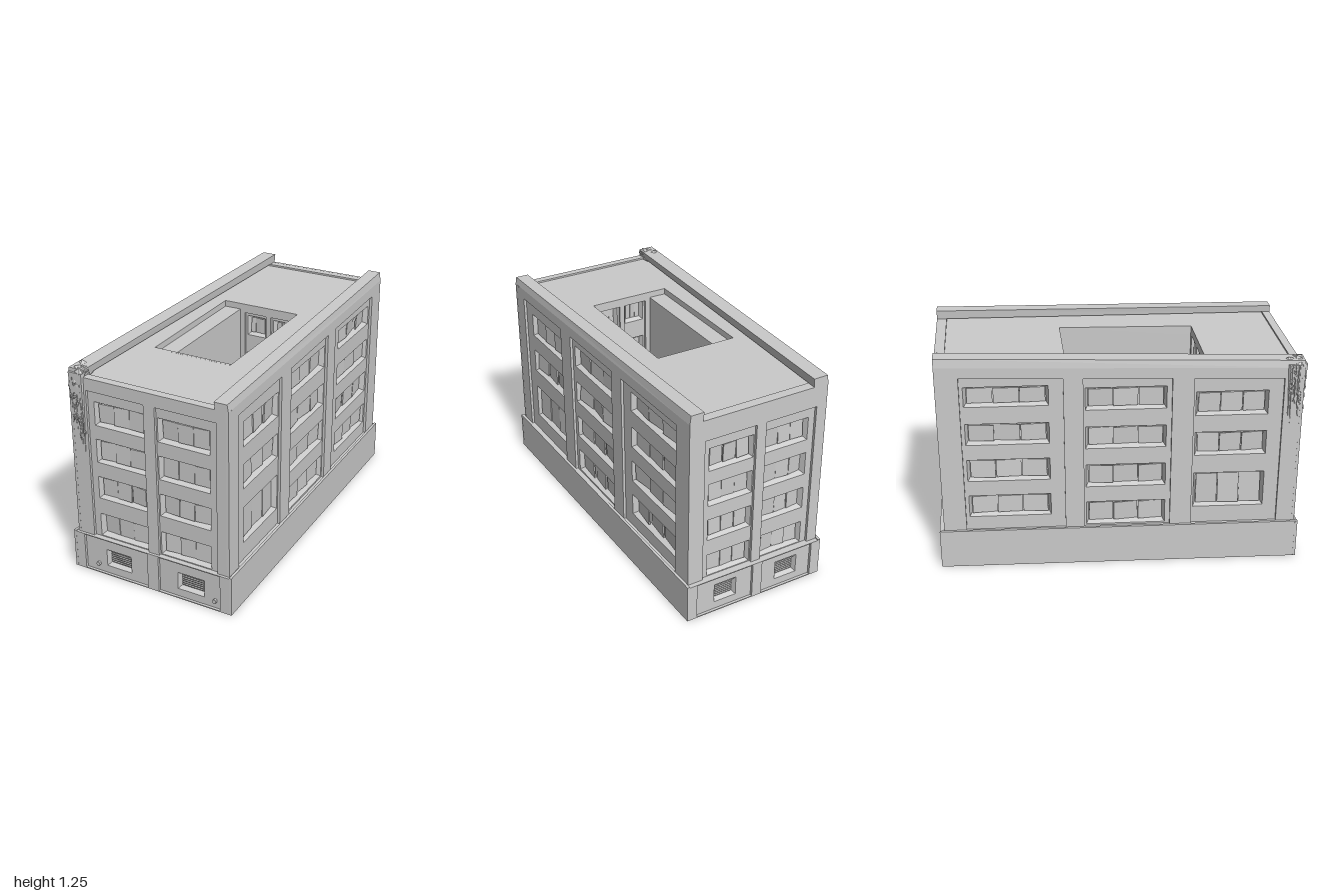
import * as THREE from 'three';

const grey = new THREE.MeshStandardMaterial({ color: 0xcccccc, flatShading: true, side: THREE.DoubleSide });

let seed = 7;
const rand = (a = 0, b = 1) => {
  seed = (seed * 16807) % 2147483647;
  return a + (b - a) * seed / 2147483647;
};

function add(parent, name, geometry, x = 0, y = 0, z = 0) {
  const m = new THREE.Mesh(geometry, grey);
  m.name = name;
  m.position.set(x, y, z);
  parent.add(m);
  return m;
}

const poly = (pts) => pts.map(([x, y]) => new THREE.Vector2(x, y));
const rect = (x0, x1, y0, y1) => poly([[x0, y0], [x1, y0], [x1, y1], [x0, y1]]);

// Heights that rise gently towards the back
const roofY = (z) => 1.165 - 0.025 * z;
const wallY = (z) => 1.175 - 0.025 * z;
const parapetY = (z) => 1.22 - 0.03 * z;

// Plan outline [x, z] raised between two height rules, with an optional hole
function slab(pts, low, high, hole, inset = 1) {
  const flip = (p) => poly(p.map(([x, z]) => [x, -z]));
  const shape = new THREE.Shape(flip(pts));
  if (hole) shape.holes.push(new THREE.Path(flip(hole)));
  const g = new THREE.ExtrudeGeometry(shape, { depth: 1, bevelEnabled: false });
  g.rotateX(-Math.PI / 2);
  const p = g.attributes.position;
  for (let i = 0; i < p.count; i++) {
    const top = p.getY(i) > 0.5;
    p.setY(i, (top ? high : low)(p.getZ(i)));
    if (top) p.setX(i, p.getX(i) * inset);
  }
  g.computeVertexNormals();
  return g;
}

// Splayed window reveal with a flat back
function recessGeometry(x0, x1, y0, y1, inset, depth) {
  const corners = (i, z) => [x0 + i, y0 + i, z, x1 - i, y0 + i, z, x1 - i, y1 - i, z, x0 + i, y1 - i, z];
  let g = new THREE.BufferGeometry();
  g.setAttribute('position', new THREE.Float32BufferAttribute([...corners(0, 0), ...corners(inset, -depth)], 3));
  const index = [4, 5, 6, 4, 6, 7];
  for (let k = 0; k < 4; k++) {
    const n = (k + 1) % 4;
    index.push(k, n, n + 4, k, n + 4, k + 4);
  }
  g.setIndex(index);
  g = g.toNonIndexed();
  g.computeVertexNormals();
  return g;
}

// Uneven panes inside a window
function addPanes(parent, x0, x1, y0, y1, z) {
  const n = 3, w = (x1 - x0) / n;
  for (let i = 0; i < n; i++) {
    const pane = add(parent, 'windowPane', new THREE.BoxGeometry(w * 0.97, y1 - y0, 0.008),
      x0 + w * (i + 0.5), (y0 + y1) / 2, z + rand(0.006, 0.012));
    pane.rotation.set(rand(-0.06, 0.06), rand(-0.12, 0.12), 0);
  }
}

// Louvre slats inside a vent
function addSlats(parent, x0, x1, y0, y1, z) {
  for (let i = 0; i < 7; i++) {
    const slat = add(parent, 'ventSlat', new THREE.BoxGeometry(x1 - x0, 0.01, 0.012),
      (x0 + x1) / 2, y0 + (y1 - y0) * (i + 0.5) / 7, z + 0.008);
    slat.rotation.x = 0.5;
  }
}

// Wall from a to b (left to right seen from outside); bay widths are fractions of its length
function facade(parent, name, a, b, y0, topA, topB, bays, fill = addPanes) {
  const wall = new THREE.Group();
  wall.name = name;
  wall.position.set(a[0], 0, a[1]);
  wall.rotation.y = Math.atan2(a[1] - b[1], b[0] - a[0]);
  parent.add(wall);
  const L = Math.hypot(b[0] - a[0], b[1] - a[1]), step = 0.015, depth = 0.035;
  const frame = new THREE.Shape(poly([[0, y0], [L, y0], [L, topB], [0, topA]]));
  for (const { span, y, win, rows } of bays) {
    const bay = rect(span[0] * L, span[1] * L, y[0], y[1]);
    frame.holes.push(new THREE.Path(bay));
    const panel = new THREE.Shape(bay);
    const x0 = win[0] * L, x1 = win[1] * L;
    for (const [r0, r1] of rows) {
      panel.holes.push(new THREE.Path(rect(x0, x1, r0, r1)));
      add(wall, 'recess', recessGeometry(x0, x1, r0, r1, 0.014, depth), 0, 0, -step);
      fill(wall, x0 + 0.015, x1 - 0.015, r0 + 0.015, r1 - 0.015, -step - depth);
    }
    add(wall, 'bayPanel', new THREE.ShapeGeometry(panel), 0, 0, -step);
  }
  add(wall, 'pillarFrame', new THREE.ExtrudeGeometry(frame, { depth: step, bevelEnabled: false }), 0, 0, -step);
}

const mirrorBays = (bays) => bays.map((b) => ({
  ...b, span: [1 - b.span[1], 1 - b.span[0]], win: [1 - b.win[1], 1 - b.win[0]],
}));

// Overgrowth on one front corner
function ivy(parent) {
  const g = new THREE.Group();
  g.name = 'ivy';
  parent.add(g);
  for (let i = 0; i < 9; i++) {
    const clump = add(g, 'ivyClump', new THREE.IcosahedronGeometry(rand(0.025, 0.036), 0),
      rand(-0.455, -0.39), rand(1.13, 1.18), rand(0.89, 0.97));
    clump.rotation.set(rand(0, 3), rand(0, 3), 0);
  }
  for (let i = 0; i < 22; i++) {
    const front = i % 2 === 0, s = rand();
    const len = front ? 0.2 + 0.3 * s : rand(0.15, 0.35);
    const x = front ? -0.46 + 0.075 * s : -0.468, z = front ? 0.987 : rand(0.89, 0.98);
    const strand = add(g, 'ivyStrand', new THREE.ConeGeometry(0.014, len, 5), x, 1.17 - len / 2, z);
    strand.rotation.x = Math.PI;
    for (let k = 0; k < 4; k++) {
      const leaf = add(g, 'ivyLeaf', new THREE.OctahedronGeometry(0.014, 0),
        x + rand(-0.008, 0.008), 1.16 - len * rand(0, 0.9), z + rand(-0.004, 0.006));
      leaf.scale.set(0.7, 1.6, 0.5);
      leaf.rotation.set(rand(-0.5, 0.5), rand(0, 3), rand(-0.5, 0.5));
    }
  }
}

export function createModel() {
  const model = new THREE.Group();
  model.name = 'building';

  // Corners in plan: front left, front right, back right, back left as seen from the front
  const A = [-0.47, 0.985], B = [0.47, 0.985], C = [0.415, -0.975], D = [-0.395, -0.975];
  const pA = [-0.493, 1], pB = [0.49, 1], pC = [0.43, -1], pD = [-0.41, -1];

  // Plinth with vents at both ends
  const vents = [
    { span: [0.07, 0.48], y: [0.005, 0.215], win: [0.205, 0.365], rows: [[0.05, 0.165]] },
    { span: [0.55, 0.93], y: [0.005, 0.215], win: [0.663, 0.827], rows: [[0.05, 0.165]] },
  ];
  facade(model, 'plinthFront', pA, pB, 0, 0.22, 0.22, vents, addSlats);
  facade(model, 'plinthLeft', pB, pC, 0, 0.225, 0.225, []);
  facade(model, 'plinthBack', pC, pD, 0, 0.22, 0.22, vents, addSlats);
  facade(model, 'plinthRight', pD, pA, 0, 0.225, 0.225, []);
  for (const [name, y] of [['plinthTop', 0.217], ['base', 0]]) {
    add(model, name, slab([pA, pB, pC, pD], () => y, () => y + 0.003));
  }
  for (const x of [-0.345, 0.385]) {
    add(model, 'frontKnob', new THREE.CylinderGeometry(0.012, 0.012, 0.02, 8), x, 0.05, 0.99).rotation.x = Math.PI / 2;
  }

  // Upper walls
  const endRows = [[0.225, 0.36], [0.455, 0.585], [0.67, 0.805], [0.885, 1.02]];
  const endBays = [
    { span: [0.11, 0.48], y: [0.2, 1.08], win: [0.15, 0.472], rows: endRows },
    { span: [0.55, 0.925], y: [0.2, 1.08], win: [0.558, 0.88], rows: endRows },
  ];
  const sideBays = [
    { span: [0.054, 0.3], y: [0.2, 1.135], win: [0.094, 0.294], rows: [[0.32, 0.53], [0.64, 0.78], [0.88, 1.02]] },
    { span: [0.36, 0.602], y: [0.2, 1.155], win: [0.374, 0.597],
      rows: [[0.23, 0.37], [0.465, 0.6], [0.7, 0.83], [0.93, 1.06]] },
    { span: [0.656, 0.936], y: [0.2, 1.17], win: [0.696, 0.926],
      rows: [[0.3, 0.43], [0.52, 0.65], [0.74, 0.865], [0.965, 1.08]] },
  ];
  const fy = wallY(A[1]), by = wallY(C[1]);
  facade(model, 'frontWall', A, B, 0.15, fy, fy, endBays);
  facade(model, 'leftWall', B, C, 0.15, fy, by, sideBays);
  facade(model, 'backWall', C, D, 0.15, by, by, endBays);
  facade(model, 'rightWall', D, A, 0.15, by, fy, mirrorBays(sideBays));

  // Roof around the open light well
  const well = [[-0.27, -0.28], [0.2, -0.28], [0.2, 0.48], [-0.27, 0.48]];
  add(model, 'roof', slab([A, B, C, D], (z) => roofY(z) - 0.05, roofY, well));

  // Parapets along both sides, low curbs at both ends
  const inner = (p, d) => [p[0] + d, p[1]];
  add(model, 'rightParapet', slab([A, inner(A, 0.09), inner(D, 0.085), D], wallY, parapetY, null, 0.985));
  add(model, 'leftParapet', slab([inner(B, -0.075), B, C, inner(C, -0.075)], wallY, parapetY, null, 0.985));
  for (const [name, p, q, d] of [['frontCurb', A, B, -0.045], ['backCurb', D, C, 0.055]]) {
    const z = p[1] + d;
    add(model, name, slab([p, q, [q[0], z], [p[0], z]], roofY, wallY));
  }

  // Light well: ledge, windowed end walls, plain side wall and floor
  add(model, 'wellLedge', slab([[-0.27, -0.28], [-0.17, -0.28], [-0.17, 0.48], [-0.27, 0.48]],
    () => 0.22, (z) => roofY(z) - 0.035));
  add(model, 'wellFloor', slab(well, () => 0.22, () => 0.23));
  const wellRows = [[0.5, 0.62], [0.75, 0.87], [0.98, 1.1]];
  const wellBays = [[0.08, 0.46], [0.54, 0.92]].map((s) => (
    { span: s, y: [0.3, 1.12], win: [s[0] + 0.03, s[1] - 0.03], rows: wellRows }));
  const wb = roofY(-0.28), wf = roofY(0.48);
  facade(model, 'wellBackWall', [-0.17, -0.28], [0.2, -0.28], 0.22, wb, wb, wellBays);
  facade(model, 'wellFrontWall', [0.2, 0.48], [-0.17, 0.48], 0.22, wf, wf, wellBays);
  facade(model, 'wellSideWall', [0.2, -0.28], [0.2, 0.48], 0.22, wb, wf, []);

  ivy(model);
  return model;
}
